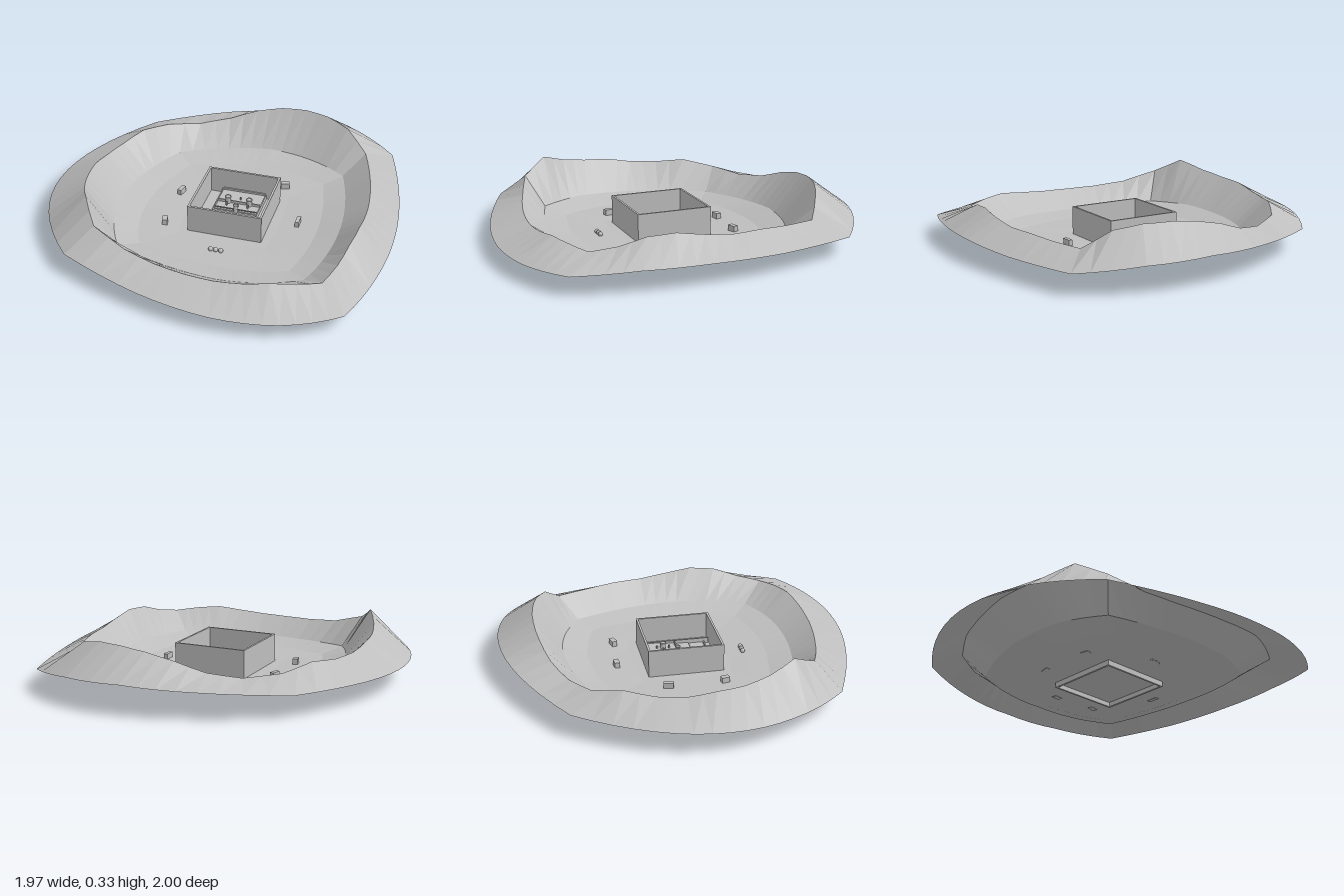
import * as THREE from 'three';

const SEG = 16; // facets per side of the basin

// sample a short list of heights at t in 0..1
function sample(list, t) {
  const f = t * (list.length - 1), i = Math.min(Math.floor(f), list.length - 2);
  return THREE.MathUtils.lerp(list[i], list[i + 1], f - i);
}

// one closed ring: four corners joined by curves bulging through four midpoints
function makeRing(corners, mids, heights) {
  const pts = [];
  for (let s = 0; s < 4; s++) {
    const a = new THREE.Vector2(...corners[s]), b = new THREE.Vector2(...corners[(s + 1) % 4]);
    const m = new THREE.Vector2(...mids[s]);
    const control = m.multiplyScalar(2).addScaledVector(a, -0.5).addScaledVector(b, -0.5);
    const curve = new THREE.QuadraticBezierCurve(a, control, b);
    for (let j = 0; j < SEG; j++) {
      const p = curve.getPoint(j / SEG);
      pts.push([p.x, sample(heights[s], j / SEG), p.y]);
    }
  }
  return pts;
}

// flat-faceted surface through a list of rings
function skin(rings) {
  const pos = [], n = rings[0].length;
  for (let r = 0; r < rings.length - 1; r++) {
    for (let j = 0; j < n; j++) {
      const k = (j + 1) % n, o = rings[r], i = rings[r + 1];
      pos.push(...o[j], ...i[j], ...o[k], ...o[k], ...i[j], ...i[k]);
    }
  }
  const g = new THREE.BufferGeometry();
  g.setAttribute('position', new THREE.Float32BufferAttribute(pos, 3));
  g.computeVertexNormals();
  return g;
}

export function createModel() {
  const model = new THREE.Group();
  const grey = new THREE.MeshStandardMaterial({ color: 0xbebebe, side: THREE.DoubleSide });
  grey.name = 'stone grey';

  const add = (parent, name, geometry, x = 0, y = 0, z = 0) => {
    const mesh = new THREE.Mesh(geometry, grey);
    mesh.name = name;
    mesh.position.set(x, y, z);
    parent.add(mesh);
    return mesh;
  };
  const box = (parent, name, x0, x1, y0, y1, z0, z1) => add(parent, name,
    new THREE.BoxGeometry(x1 - x0, y1 - y0, z1 - z0), (x0 + x1) / 2, (y0 + y1) / 2, (z0 + z1) / 2);
  const level = (h) => Array(4).fill([h, h]);

  // basin rings, sides in order: back, left (+x), front, right (-x)
  const rim = makeRing(
    [[-0.66, -0.69], [0.82, -0.75], [0.85, 0.81], [-0.68, 0.75]],
    [[0.16, -1.0], [0.98, 0.1], [0.2, 1.0], [-0.985, 0.07]],
    [[0.13, 0.15, 0.165, 0.15, 0.11], [0.11, 0.11, 0.12, 0.12, 0.1],
      [0.1, 0.09, 0.09, 0.1, 0.12], [0.12, 0.13, 0.13, 0.13, 0.13]]);
  const crest = makeRing(
    [[-0.54, -0.57], [0.68, -0.6], [0.7, 0.66], [-0.55, 0.63]],
    [[0.12, -0.8], [0.81, 0.08], [0.16, 0.8], [-0.77, 0.05]],
    [[0.2, 0.18, 0.205, 0.26, 0.295, 0.31, 0.308, 0.28, 0.185],
      [0.185, 0.19, 0.2, 0.2, 0.22, 0.245, 0.235, 0.19, 0.165],
      [0.165, 0.18, 0.19, 0.175, 0.165, 0.165, 0.17, 0.19, 0.25],
      [0.25, 0.33, 0.285, 0.26, 0.25, 0.225, 0.22, 0.235, 0.2]]);
  const slope = makeRing(
    [[-0.44, -0.48], [0.57, -0.5], [0.58, 0.54], [-0.46, 0.54]],
    [[0.1, -0.64], [0.67, 0.06], [0.13, 0.66], [-0.6, 0.05]],
    [[0.07, 0.08, 0.09, 0.08, 0.07], [0.07, 0.08, 0.085, 0.08, 0.07],
      [0.07, 0.07, 0.065, 0.07, 0.08], [0.08, 0.09, 0.08, 0.075, 0.07]]);
  const foot = makeRing(
    [[-0.35, -0.4], [0.47, -0.42], [0.48, 0.45], [-0.37, 0.44]],
    [[0.08, -0.5], [0.54, 0.04], [0.1, 0.52], [-0.46, 0.05]],
    level(0.042));
  const terrace = makeRing(
    [[-0.27, -0.31], [0.37, -0.31], [0.38, 0.35], [-0.28, 0.35]],
    [[0.08, -0.365], [0.42, 0.03], [0.08, 0.39], [-0.33, 0.03]],
    level(0.036));
  const apron = makeRing(
    [[-0.2, -0.24], [0.3, -0.24], [0.3, 0.27], [-0.2, 0.27]],
    [[0.06, -0.25], [0.32, 0.02], [0.06, 0.29], [-0.22, 0.02]],
    level(0.03));
  const centre = apron.map(() => [0.055, 0.028, 0.018]);
  add(model, 'outerSlope', skin([rim, crest]));
  add(model, 'innerBasin', skin([crest, slope, foot, terrace, apron]));
  add(model, 'basinFloor', skin([apron, centre]));

  // walled enclosure
  const hut = new THREE.Group();
  hut.name = 'enclosure';
  model.add(hut);
  const X0 = -0.16, X1 = 0.265, Z0 = -0.197, Z1 = 0.232, T = 0.012, H = 0.19;
  box(hut, 'backWall', X0, X1, 0, H, Z0, Z0 + T);
  box(hut, 'frontWall', X0, X1, 0, H, Z1 - T, Z1);
  box(hut, 'rightWall', X0, X0 + T, 0, H, Z0 + T, Z1 - T);
  box(hut, 'leftWall', X1 - T, X1, 0, H, Z0 + T, Z1 - T);
  box(hut, 'enclosureFloor', X0 + T, X1 - T, 0.026, 0.036, Z0 + T, Z1 - T);

  // stepped deck with low side rails
  const steps = [[-0.175, -0.068, 0.062], [-0.064, 0.01, 0.054], [0.014, 0.096, 0.048], [0.1, 0.182, 0.043]];
  for (const [z0, z1, h] of steps) box(hut, 'deckStep', -0.07, 0.18, 0.034, h, z0, z1);
  for (const x of [-0.076, 0.18]) box(hut, 'sideRail', x, x + 0.006, 0.034, 0.068, -0.18, 0.215);
  box(hut, 'rearBeam', -0.07, 0.18, 0.034, 0.072, -0.185, -0.178);
  box(hut, 'frontBeam', -0.07, 0.18, 0.034, 0.05, 0.185, 0.192);

  // posts with collars and a cross bar
  for (const [x, z, r] of [[-0.01, -0.065, 0.016], [0.115, -0.065, 0.016], [0.055, 0.01, 0.012]]) {
    add(hut, 'post', new THREE.CylinderGeometry(r, r, 0.05, 12), x, 0.07, z);
    add(hut, 'collar', new THREE.TorusGeometry(r, 0.004, 6, 14).rotateX(Math.PI / 2), x, 0.094, z);
  }
  for (const z of [-0.065, 0.012]) box(hut, 'crossBar', -0.07, 0.18, 0.066, 0.071, z - 0.003, z + 0.003);
  for (const x of [-0.01, 0.055, 0.115]) {
    for (const z of [-0.1, -0.03]) {
      add(hut, 'peg', new THREE.CylinderGeometry(0.005, 0.005, 0.02, 8), x, 0.068, z);
    }
  }

  // small stones and crates around the enclosure
  const stones = [[-0.005, -0.355, 0.05, 0.03, 0.1], [0.26, -0.335, 0.05, 0.03, 0.3],
    [-0.307, -0.113, 0.024, 0.055, -0.25], [0.42, 0.008, 0.022, 0.065, 0], [-0.302, 0.205, 0.03, 0.045, 0.2]];
  for (const [x, z, w, d, turn] of stones) {
    add(model, 'crate', new THREE.BoxGeometry(w, 0.035, d), x, 0.05, z).rotation.y = turn;
  }
  for (const x of [0.022, 0.05, 0.08]) {
    add(model, 'pebble', new THREE.IcosahedronGeometry(0.014, 1), x, 0.046, 0.385);
  }
  return model;
}
